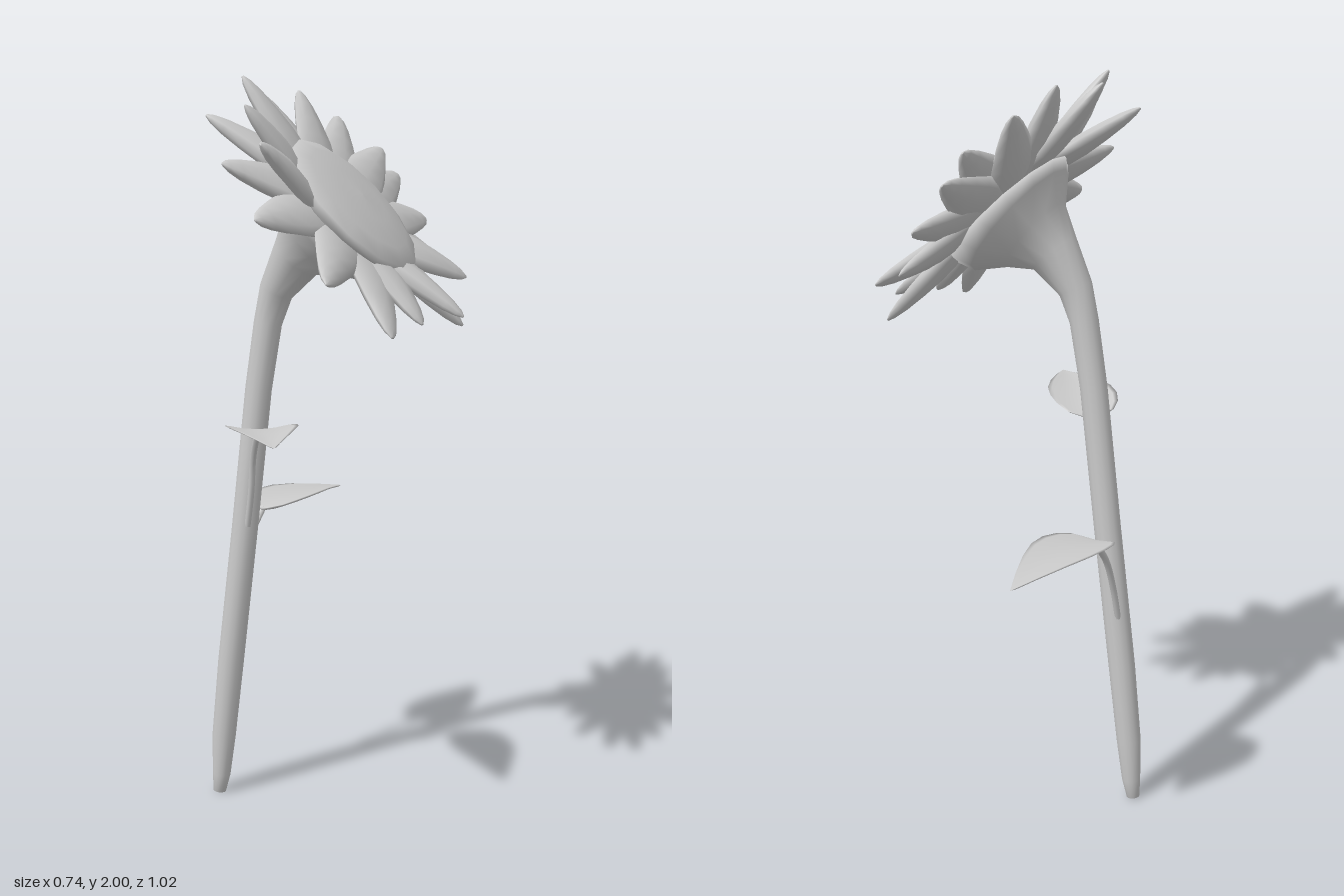
import * as THREE from 'three';

const V = (x, y, z) => new THREE.Vector3(x, y, z);
const material = new THREE.MeshStandardMaterial({ color: 0xcccccc });

function addMesh(parent, name, geometry) {
  const mesh = new THREE.Mesh(geometry, material);
  mesh.name = name;
  parent.add(mesh);
  return mesh;
}

// Joins a list of closed rings (each an array of points) into a smooth skin.
function loft(rings) {
  const n = rings[0].length, index = [];
  for (let i = 0; i < rings.length - 1; i++) {
    for (let j = 0; j < n; j++) {
      const a = i * n + j, b = i * n + (j + 1) % n;
      index.push(a, b, b + n, a, b + n, a + n);
    }
  }
  const geometry = new THREE.BufferGeometry().setFromPoints(rings.flat());
  geometry.setIndex(index);
  geometry.computeVertexNormals();
  return geometry;
}

// Blade along +z; rows are [t, half width, half thickness, height].
function bladeGeometry(rows, cup, sides) {
  return loft(rows.map(([t, w, h, y]) =>
    Array.from({ length: sides }, (_, j) => {
      const a = (j / sides) * Math.PI * 2, c = Math.cos(a);
      return V(c * w, y + Math.sin(a) * h + cup * c * c * w, t);
    })));
}

// Places a unit-length blade from base to tip, its upper side towards +y.
function placeBlade(mesh, base, tip) {
  const along = tip.clone().sub(base), length = along.length();
  const z = along.normalize(), x = V(0, 1, 0).cross(z).normalize();
  const y = z.clone().cross(x);
  mesh.quaternion.setFromRotationMatrix(new THREE.Matrix4().makeBasis(x, y, z));
  mesh.position.copy(base);
  mesh.scale.set(1, 1, length);
}

export function createModel() {
  const model = new THREE.Group();
  model.name = 'flower';

  // Stem flaring into the back of the head: x, y, radius
  const stemRows = [
    [-0.352, 0.005, 0], [-0.352, 0.006, 0.018], [-0.345, 0.06, 0.026], [-0.335, 0.18, 0.034],
    [-0.31, 0.4, 0.037], [-0.26, 0.8, 0.037], [-0.215, 1.18, 0.037],
    [-0.185, 1.36, 0.039], [-0.16, 1.445, 0.047], [-0.1, 1.535, 0.071],
    [-0.045, 1.58, 0.114], [0.0, 1.615, 0.18], [0.03, 1.643, 0.204], [0.04, 1.655, 0],
  ];
  const sides = 14;
  addMesh(model, 'stem', loft(stemRows.map(([x, y, r], i) => {
    const p = stemRows[Math.max(i - 1, 0)], q = stemRows[Math.min(i + 1, stemRows.length - 1)];
    const across = V(0, 0, 1);
    const other = V(q[0] - p[0], q[1] - p[1], 0).normalize().cross(across);
    return Array.from({ length: sides }, (_, j) => {
      const a = (j / sides) * Math.PI * 2;
      return V(x, y, 0.055).addScaledVector(across, r * Math.cos(a))
        .addScaledVector(other, r * Math.sin(a));
    });
  })));

  // Head, tilted so its own y axis is the facing direction
  const head = new THREE.Group();
  head.name = 'head';
  head.position.set(0.05, 1.66, 0.055);
  head.rotation.z = -0.835;
  model.add(head);

  const discProfile = [[0, -0.012], [0.19, -0.012], [0.222, 0.008], [0.22, 0.028],
    [0.17, 0.045], [0.09, 0.055], [0, 0.058]];
  addMesh(head, 'seedDisc',
    new THREE.LatheGeometry(discProfile.map(([r, y]) => new THREE.Vector2(r, y)), 13));

  // Petals: angle in degrees, tip radius, tip height
  const petalGeometry = bladeGeometry([
    [0, 0, 0, 0], [0, 0.06, 0.014, 0], [0.25, 0.074, 0.021, 0],
    [0.42, 0.07, 0.024, 0], [0.62, 0.055, 0.022, 0],
    [0.82, 0.036, 0.017, 0], [0.94, 0.021, 0.01, 0], [1, 0.005, 0.003, 0], [1, 0, 0, 0],
  ], 0, 8);
  const petals = [
    [-2, 0.41, 0.055], [20, 0.405, 0.01], [34, 0.455, -0.03], [62, 0.425, -0.03],
    [93, 0.425, -0.05], [111, 0.425, 0.07], [119, 0.415, -0.05], [136, 0.405, 0.06],
    [154, 0.43, -0.07], [169, 0.435, 0.035], [188, 0.44, -0.01], [203, 0.41, 0.05],
    [227, 0.44, 0.04], [246, 0.38, 0.07], [258, 0.435, 0.035], [279, 0.405, 0.024],
    [296, 0.415, -0.013], [312, 0.42, 0.035], [336, 0.435, -0.015],
  ];
  for (const [degrees, radius, height] of petals) {
    const a = THREE.MathUtils.degToRad(degrees);
    const at = (r, h) => V(r * Math.cos(a), h, r * Math.sin(a));
    placeBlade(addMesh(head, 'petal', petalGeometry), at(0.13, -0.01), at(radius, height));
  }

  // Two cupped leaves on thin curved stalks
  const leafGeometry = bladeGeometry([
    [0, 0, 0, 0], [0, 0.025, 0.004, 0], [0.04, 0.065, 0.005, 0.002],
    [0.14, 0.086, 0.006, 0.007], [0.27, 0.095, 0.006, 0.011],
    [0.42, 0.09, 0.006, 0.013], [0.6, 0.068, 0.005, 0.012],
    [0.8, 0.036, 0.004, 0.007], [0.95, 0.009, 0.003, 0.001], [1, 0, 0, 0],
  ], 0.2, 12);
  const leaves = [
    { name: 'backLeaf', base: V(-0.285, 0.81, -0.095), tip: V(-0.223, 0.81, -0.51),
      stalk: [V(-0.305, 0.55, 0.03), V(-0.302, 0.65, -0.005), V(-0.298, 0.74, -0.05), V(-0.288, 0.812, -0.11)] },
    { name: 'frontLeaf', base: V(-0.175, 1.075, 0.145), tip: V(0.06, 1.105, 0.512),
      stalk: [V(-0.24, 0.8, 0.08), V(-0.219, 0.9, 0.097), V(-0.2, 1.0, 0.12), V(-0.165, 1.078, 0.16)] },
  ];
  for (const { name, base, tip, stalk } of leaves) {
    placeBlade(addMesh(model, name, leafGeometry), base, tip);
    addMesh(model, name + 'Stalk',
      new THREE.TubeGeometry(new THREE.CatmullRomCurve3(stalk), 14, 0.009, 8));
  }
  return model;
}
